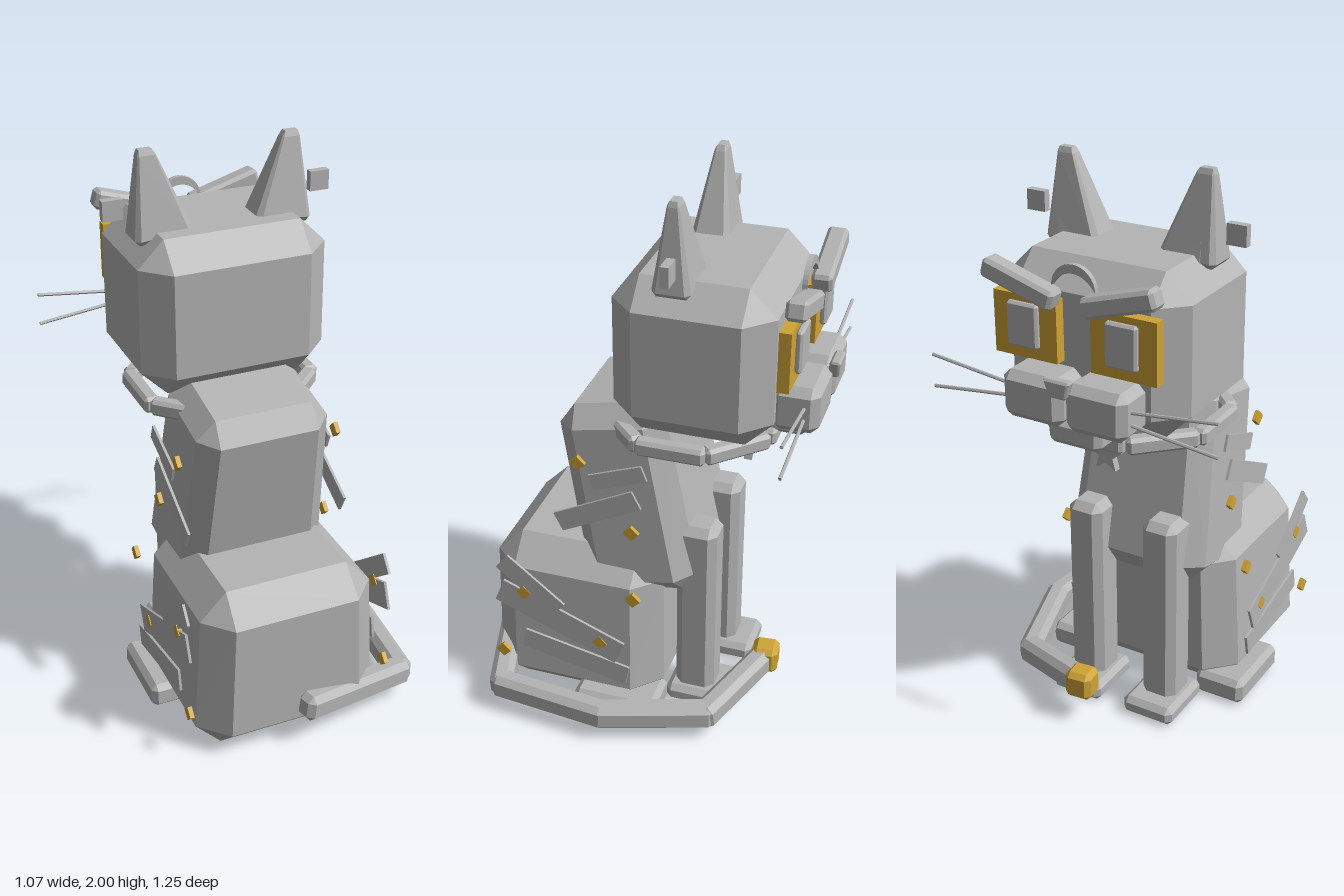
import * as THREE from 'three';
import { ConvexGeometry } from 'three/addons/geometries/ConvexGeometry.js';

// Box with chamfered edges; optional shape(point) adjusts each corner for taper or lean
function chamferBox(w, h, d, c, shape) {
  const pts = [];
  for (const sx of [-1, 1]) for (const sy of [-1, 1]) for (const sz of [-1, 1]) {
    const x = w / 2, y = h / 2, z = d / 2;
    for (const [px, py, pz] of [[x, y - c, z - c], [x - c, y, z - c], [x - c, y - c, z]]) {
      const p = new THREE.Vector3(sx * px, sy * py, sz * pz);
      if (shape) shape(p);
      pts.push(p);
    }
  }
  return new ConvexGeometry(pts);
}

export function createModel() {
  const stone = new THREE.MeshStandardMaterial({ color: 0xb4b4b4, flatShading: true });
  stone.name = 'grey stone';
  const gold = new THREE.MeshStandardMaterial({ color: 0xcfa436, flatShading: true });
  gold.name = 'gold';

  const model = new THREE.Group();
  model.name = 'sittingCat';
  const cat = new THREE.Group();
  cat.name = 'cat';
  cat.position.x = -0.01;
  model.add(cat);

  function add(name, geo, mat, x, y, z, rx = 0, ry = 0, rz = 0, parent = cat) {
    const m = new THREE.Mesh(geo, mat);
    m.name = name;
    m.position.set(x, y, z);
    m.rotation.set(rx, ry, rz);
    parent.add(m);
    return m;
  }
  const sides = [[1, 'left'], [-1, 'right']];

  // Haunches: slightly narrower at the top
  add('haunches', chamferBox(0.7, 0.64, 0.65, 0.1, p => {
    p.x *= 1 - 0.1 * (p.y / 0.64 + 0.5);
    if (p.y > 0) p.z = p.z * 0.98;
  }), stone, 0, 0.32, 0.225);

  // Chest: leaning and widening downwards
  add('chest', chamferBox(0.54, 0.74, 0.41, 0.07, p => {
    const t = p.y / 0.74 + 0.5;
    p.x *= 1.03 - 0.15 * t;
    p.z *= 1.03 - 0.08 * t;
  }), stone, 0, 0.84, 0.05, 0.19);

  // Head
  add('head', chamferBox(0.675, 0.56, 0.545, 0.093), stone, 0, 1.452, -0.195);

  for (const [s, side] of sides) {
    // Ear: a box tapering to a bevelled tip that leans outwards
    add(side + 'Ear', chamferBox(0.21, 0.3, 0.135, 0.018, p => {
      const t = p.y / 0.3 + 0.5, k = 1 - 0.74 * t;
      p.x = p.x * k + s * 0.045 * t;
      p.z *= k;
      p.y -= s * p.x * 0.12 * (1 - t);
    }), stone, s * 0.213, 1.85, -0.138);
    add(side + 'InnerEar', chamferBox(0.11, 0.22, 0.012, 0.003, p => {
      const t = p.y / 0.22 + 0.5;
      p.x = p.x * (1 - 0.85 * t) + s * 0.035 * t;
      p.z += 0.04 * t;
    }), stone, s * 0.215, 1.81, -0.2);
    add(side + 'EarStud', new THREE.BoxGeometry(0.07, 0.07, 0.028), stone, s * 0.373, 1.807, -0.15);

    // Eye, pupil and brow
    add(side + 'Eye', new THREE.BoxGeometry(0.235, 0.21, 0.04), gold, s * 0.18, 1.52, -0.503);
    add(side + 'Pupil', chamferBox(0.115, 0.15, 0.025, 0.008), stone, s * 0.18, 1.53, -0.533);
    add(side + 'Brow', chamferBox(0.27, 0.068, 0.07, 0.012), stone, s * 0.182, 1.672, -0.535, 0, 0, s * 0.29);

    // Muzzle half and whiskers
    add(side + 'Muzzle', chamferBox(0.225, 0.165, 0.16, 0.028), stone, s * 0.117, 1.312, -0.528);
    for (const [inner, outer] of [[1.32, 1.366], [1.3, 1.253]]) {
      const a = new THREE.Vector3(s * 0.13, inner, -0.56), b = new THREE.Vector3(s * 0.53, outer, -0.56);
      const whisker = add(side + 'Whisker', new THREE.CylinderGeometry(0.006, 0.006, a.distanceTo(b), 6), stone, 0, 0, 0);
      whisker.position.copy(a).lerp(b, 0.5);
      whisker.quaternion.setFromUnitVectors(new THREE.Vector3(0, 1, 0), b.clone().sub(a).normalize());
    }

    // Legs and paws
    add(side + 'FrontLeg', chamferBox(0.135, 0.75, 0.145, 0.028), stone, s * 0.15, 0.393, -0.203);
    add(side + 'FrontPaw', chamferBox(0.2, 0.07, 0.245, 0.02), stone, s * 0.15, 0.035, -0.228);
    add(side + 'RearPaw', chamferBox(0.19, 0.095, 0.31, 0.02), stone, s * 0.315, 0.0475, 0.045);

    // Thin stripe plates: [x, y, z, length, height, tilt]
    for (const [x, y, z, len, h, tilt] of [
      [0.293, 0.984, 0.053, 0.205, 0.06, 0.36], [0.293, 0.833, 0.13, 0.325, 0.075, 0.47],
      [0.377, 0.517, 0.36, 0.27, 0.075, -0.68], [0.377, 0.382, 0.253, 0.49, 0.1, -0.38],
      [0.377, 0.234, 0.195, 0.405, 0.08, -0.2]]) {
      add(side + 'Stripe', new THREE.BoxGeometry(0.0095, h, len), stone, s * x, y, z, tilt);
    }
    // Gold diamond studs: [x, y, z]
    for (const [x, y, z] of [[0.295, 1.02, 0.195], [0.295, 0.768, 0.005], [0.377, 0.545, -0.027],
      [0.377, 0.482, 0.386], [0.377, 0.325, 0.1], [0.377, 0.195, 0.48]]) {
      add(side + 'Stud', new THREE.BoxGeometry(0.016, 0.04, 0.04), gold, s * x, y, z, Math.PI / 4);
    }
  }

  // Nose: wedge narrowing downwards
  add('nose', chamferBox(0.12, 0.065, 0.04, 0.008, p => {
    const k = 0.65 + 5.4 * p.y;
    p.x *= Math.min(1, Math.max(0.4, k));
    p.z = p.z * 0.9 - p.y * 0.1;
  }), stone, 0, 1.382, -0.613);
  add('chin', chamferBox(0.2, 0.09, 0.16, 0.02), stone, 0, 1.188, -0.465);

  // Crescent on the forehead
  const crescent = new THREE.Shape();
  crescent.absarc(0, 0, 0.08, 0, Math.PI, false);
  crescent.quadraticCurveTo(-0.045, 0.05, 0, 0.05);
  crescent.quadraticCurveTo(0.045, 0.05, 0.08, 0);
  add('crescent', new THREE.ExtrudeGeometry(crescent, { depth: 0.018, bevelEnabled: false, curveSegments: 8 }),
    stone, 0, 1.675, -0.518);

  // Collar: ring of eight links
  for (let i = 0; i < 8; i++) {
    const a = i * Math.PI / 4;
    add('collarLink', chamferBox(0.245, 0.06, 0.055, 0.012), stone,
      Math.sin(a) * 0.3, 1.135, -0.137 + Math.cos(a) * 0.285, 0, a, 0);
  }

  // Star pendant
  const star = new THREE.Shape();
  for (let i = 0; i < 10; i++) {
    const r = i % 2 ? 0.028 : 0.065, a = Math.PI / 2 + i * Math.PI / 5;
    star[i ? 'lineTo' : 'moveTo'](Math.cos(a) * r, Math.sin(a) * r);
  }
  star.closePath();
  add('starPendant', new THREE.ExtrudeGeometry(star, { depth: 0.028, bevelEnabled: false }), stone, 0, 1.035, -0.35);

  // Tail: chamfered links wrapping round the left side to a gold tip
  const path = [[0.03, 0.16, 0.57], [0.45, 0.1, 0.46], [0.485, 0.095, 0.06], [0.365, 0.095, -0.3], [0.08, 0.145, -0.425]]
    .map(p => new THREE.Vector3(...p));
  for (let i = 0; i < path.length - 1; i++) {
    const link = add('tailLink', chamferBox(0.085, 0.1, path[i].distanceTo(path[i + 1]) + 0.06, 0.022),
      stone, 0, 0, 0, 0, 0, 0, model);
    link.position.copy(path[i]).lerp(path[i + 1], 0.5);
    link.lookAt(path[i + 1]);
  }
  add('tailTip', chamferBox(0.1, 0.105, 0.095, 0.018), gold, 0.05, 0.152, -0.438, 0, 0.1, 0, model);

  return model;
}
